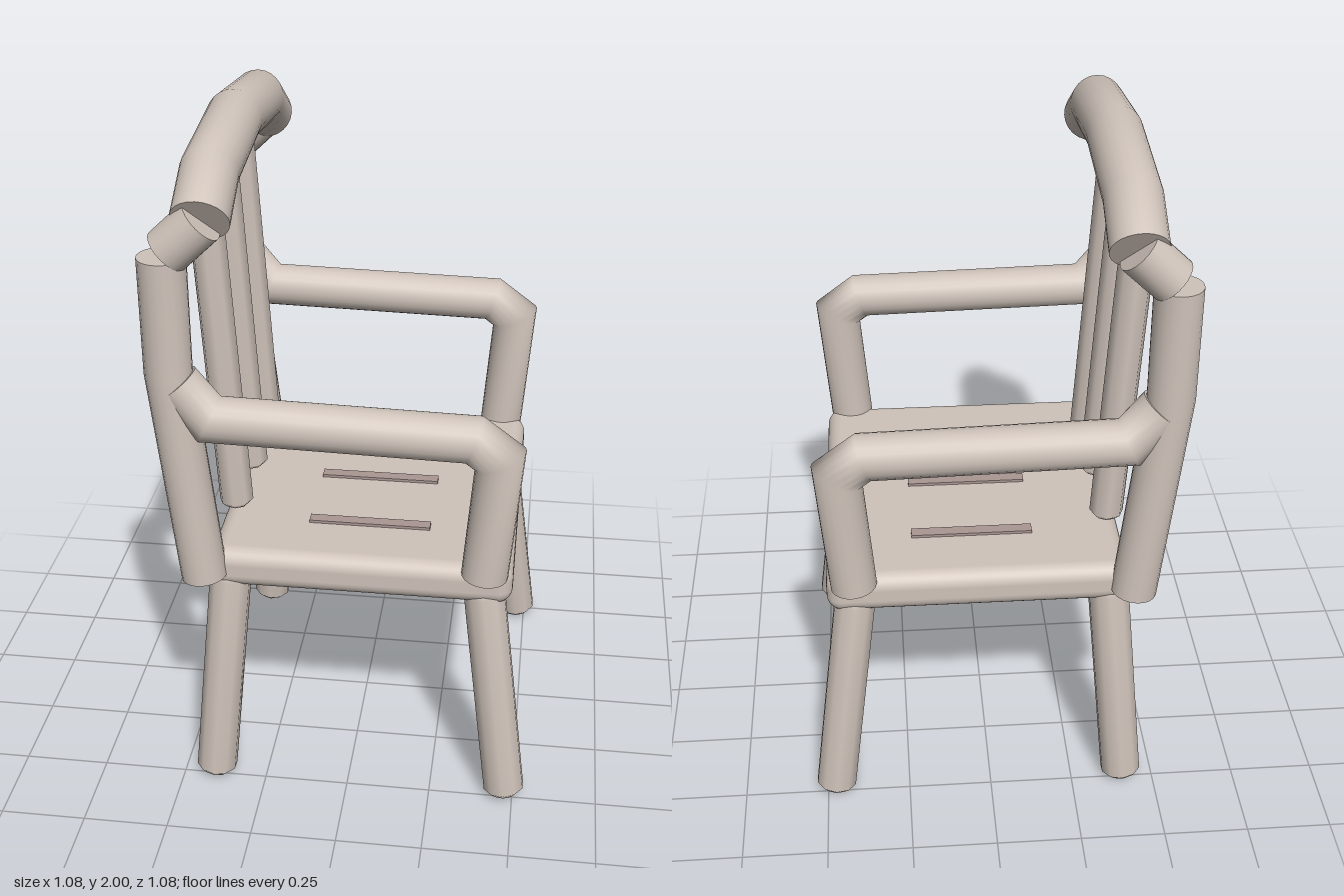
import * as THREE from 'three';
import { RoundedBoxGeometry } from 'three/addons/geometries/RoundedBoxGeometry.js';

const V = (x, y, z) => new THREE.Vector3(x, y, z);

// Capped round bar along a planar path, with mitred corners; side is the plane's normal
function bar(points, r, side, n = 20) {
  const pos = [], idx = [];
  const rings = points.map((p, i) => {
    const a = p.clone().sub(points[Math.max(i - 1, 0)]).normalize();
    const b = points[Math.min(i + 1, points.length - 1)].clone().sub(p).normalize();
    const t = a.clone().add(b).normalize();
    const inDir = a.lengthSq() ? a : b;
    const out = side.clone().cross(t).multiplyScalar(r / t.dot(inDir));
    return Array.from({ length: n }, (_, k) => {
      const u = (k / n) * Math.PI * 2;
      return p.clone().addScaledVector(out, Math.cos(u)).addScaledVector(side, -r * Math.sin(u));
    });
  });
  const add = (ring) => ring.forEach((v) => pos.push(v.x, v.y, v.z));
  rings.forEach(add);
  for (let i = 0; i < rings.length - 1; i++) {
    for (let k = 0; k < n; k++) {
      const a = i * n + k, b = i * n + (k + 1) % n;
      idx.push(a, a + n, b, b, a + n, b + n);
    }
  }
  // End caps have their own corners so the rims stay sharp
  [rings[0], rings[rings.length - 1]].forEach((ring, e) => {
    const s = pos.length / 3;
    add(ring);
    for (let k = 1; k < n - 1; k++) idx.push(s, s + k + (e ? 1 : 0), s + k + (e ? 0 : 1));
  });
  const g = new THREE.BufferGeometry();
  g.setAttribute('position', new THREE.Float32BufferAttribute(pos, 3));
  g.setIndex(idx);
  // Turn the faces outward whichever way the path runs
  const [A, B, C] = idx.slice(0, 3).map((i) => V(pos[3 * i], pos[3 * i + 1], pos[3 * i + 2]));
  const facing = B.sub(A).cross(C.sub(A)).dot(A.clone().sub(points[0]));
  if (facing < 0) g.setIndex(idx.map((_, i) => idx[i - (i % 3) + 2 - (i % 3)]));
  g.computeVertexNormals();
  return g;
}

// Turned stick with bevelled ends, from a to b
function stick(a, b, r, bevel, sides) {
  const len = a.distanceTo(b);
  const profile = [[0, 0], [r - bevel, 0], [r, bevel], [r, len - bevel], [r - bevel, len], [0, len]];
  const g = new THREE.LatheGeometry(profile.map(([x, y]) => new THREE.Vector2(x, y)), sides);
  const q = new THREE.Quaternion().setFromUnitVectors(V(0, 1, 0), b.clone().sub(a).normalize());
  return g.applyQuaternion(q).translate(a.x, a.y, a.z);
}

export function createModel() {
  const chair = new THREE.Group();
  chair.name = 'armchair';
  const wood = new THREE.MeshStandardMaterial({ color: 0xcfc3ba });
  const dark = new THREE.MeshStandardMaterial({ color: 0xaa9793 });
  const add = (name, geometry, material = wood) => {
    const mesh = new THREE.Mesh(geometry, material);
    mesh.name = name;
    chair.add(mesh);
    return mesh;
  };

  // Seat with three inlaid strips
  add('seat', new RoundedBoxGeometry(0.87, 0.123, 0.96, 4, 0.045)).position.set(0.035, 0.732, 0);
  for (const z of [-0.27, 0, 0.27]) {
    add('seatStrip', new THREE.BoxGeometry(0.355, 0.02, 0.036), dark).position.set(0.042, 0.792, z);
  }

  // Back spindles, leaning backward
  for (const z of [-0.237, 0, 0.237]) {
    add('spindle', stick(V(-0.36, 0.815, z), V(-0.42, 1.835, z), 0.05, 0.016, 8));
  }

  // Bowed top rail
  const rail = [[0.477, 1.793], [0.34, 1.878], [0, 1.92], [-0.34, 1.878], [-0.477, 1.793]];
  add('topRail', bar(rail.map(([z, y]) => V(-0.373, y, z)), 0.079, V(1, 0, 0), 24));

  const sideParts = {
    backPost: [[-0.481, 1.69], [-0.481, 1.36], [-0.412, 0.713]],
    railConnector: [[-0.465, 1.705], [-0.37, 1.795]],
    armrest: [[-0.46, 1.325], [-0.375, 1.22], [0.347, 1.205], [0.42, 1.15], [0.39, 0.775]],
  };
  for (const s of [-1, 1]) {
    // Post, connector and armrest of each side
    for (const [name, path] of Object.entries(sideParts)) {
      add(name, bar(path.map(([x, y]) => V(x, y, s * 0.474)), 0.066, V(0, 0, 1)));
    }
    // Splayed legs
    add('frontLeg', stick(V(0.476, 0.012, s * 0.483), V(0.388, 0.705, s * 0.425), 0.061, 0.02, 10));
    add('backLeg', stick(V(-0.405, 0.008, s * 0.483), V(-0.345, 0.705, s * 0.425), 0.061, 0.02, 10));
  }
  return chair;
}
